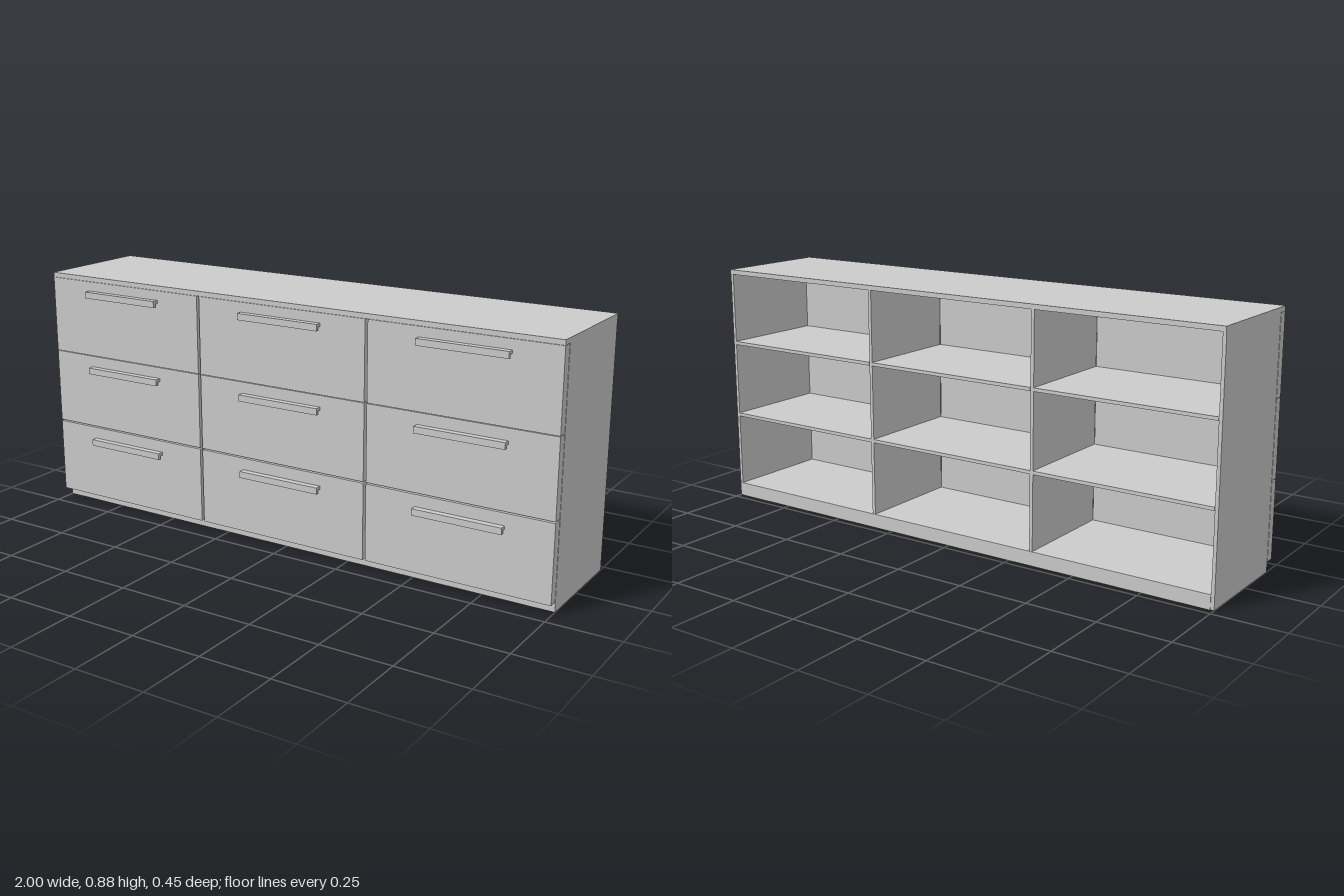
import * as THREE from 'three';

const material = new THREE.MeshStandardMaterial({ color: 0xcccccc, flatShading: true });

// Box given by its limits on each axis
function panel(parent, name, [x0, x1], [y0, y1], [z0, z1]) {
  const mesh = new THREE.Mesh(new THREE.BoxGeometry(x1 - x0, y1 - y0, z1 - z0), material);
  mesh.name = name;
  mesh.position.set((x0 + x1) / 2, (y0 + y1) / 2, (z0 + z1) / 2);
  parent.add(mesh);
}

// L-shaped pull, extruded along x; profile is drawn as (depth, height)
function handleGeometry(width) {
  const profile = new THREE.Shape([
    [0, 0], [0, -0.011], [0.012, -0.011], [0.012, -0.023], [0.023, -0.023], [0.023, 0],
  ].map(([z, y]) => new THREE.Vector2(z, y)));
  const geometry = new THREE.ExtrudeGeometry(profile, { depth: width, bevelEnabled: false });
  geometry.translate(0, 0, -width / 2);
  geometry.rotateY(-Math.PI / 2);
  return geometry;
}

export function createModel() {
  const model = new THREE.Group();
  model.name = 'drawerCabinet';

  const T = 0.012;              // board thickness
  const BACK = -0.225, BODY_FRONT = 0.17, FRONT = 0.205;
  const TOP = 0.875, TOP_UNDER = 0.858, FLOOR = 0.05;
  const bodyZ = [BACK + 0.002, BODY_FRONT];

  // Carcass, open at the back
  const carcass = new THREE.Group();
  carcass.name = 'carcass';
  model.add(carcass);
  panel(carcass, 'top', [-1, 1], [TOP_UNDER, TOP], [BACK, FRONT]);
  panel(carcass, 'plinth', [-1 + T, 1 - T], [0, FLOOR], [BACK, BODY_FRONT]);
  panel(carcass, 'rightSide', [-1, -1 + T], [0, TOP_UNDER], bodyZ);
  panel(carcass, 'leftSide', [1 - T, 1], [0, TOP_UNDER], bodyZ);

  const dividers = [-0.337, 0.332];
  for (const x of dividers) {
    panel(carcass, 'divider', [x - T / 2, x + T / 2], [FLOOR, TOP_UNDER], bodyZ);
  }

  // Shelves between the uprights
  const bays = [
    [-1 + T, dividers[0] - T / 2],
    [dividers[0] + T / 2, dividers[1] - T / 2],
    [dividers[1] + T / 2, 1 - T],
  ];
  for (const bay of bays) {
    for (const y of [0.316, 0.593]) panel(carcass, 'shelf', bay, [y, y + T], [BACK, BODY_FRONT]);
  }

  // Three columns of three drawer fronts, each with a handle
  const columns = [
    { x: [-1, -0.342], handle: -0.672 },
    { x: [-0.332, 0.327], handle: 0.002 },
    { x: [0.337, 1], handle: 0.677 },
  ];
  const rows = [
    { y: [0.035, 0.306], handle: 0.264 },
    { y: [0.311, 0.58], handle: 0.54 },
    { y: [0.582, 0.857], handle: 0.823 },
  ];
  const pull = handleGeometry(0.315);
  for (const column of columns) {
    for (const row of rows) {
      const drawer = new THREE.Group();
      drawer.name = 'drawer';
      panel(drawer, 'drawerFront', column.x, row.y, [0.173, FRONT]);
      const handle = new THREE.Mesh(pull, material);
      handle.name = 'handle';
      handle.position.set(column.handle, row.handle, FRONT);
      drawer.add(handle);
      model.add(drawer);
    }
  }
  return model;
}
